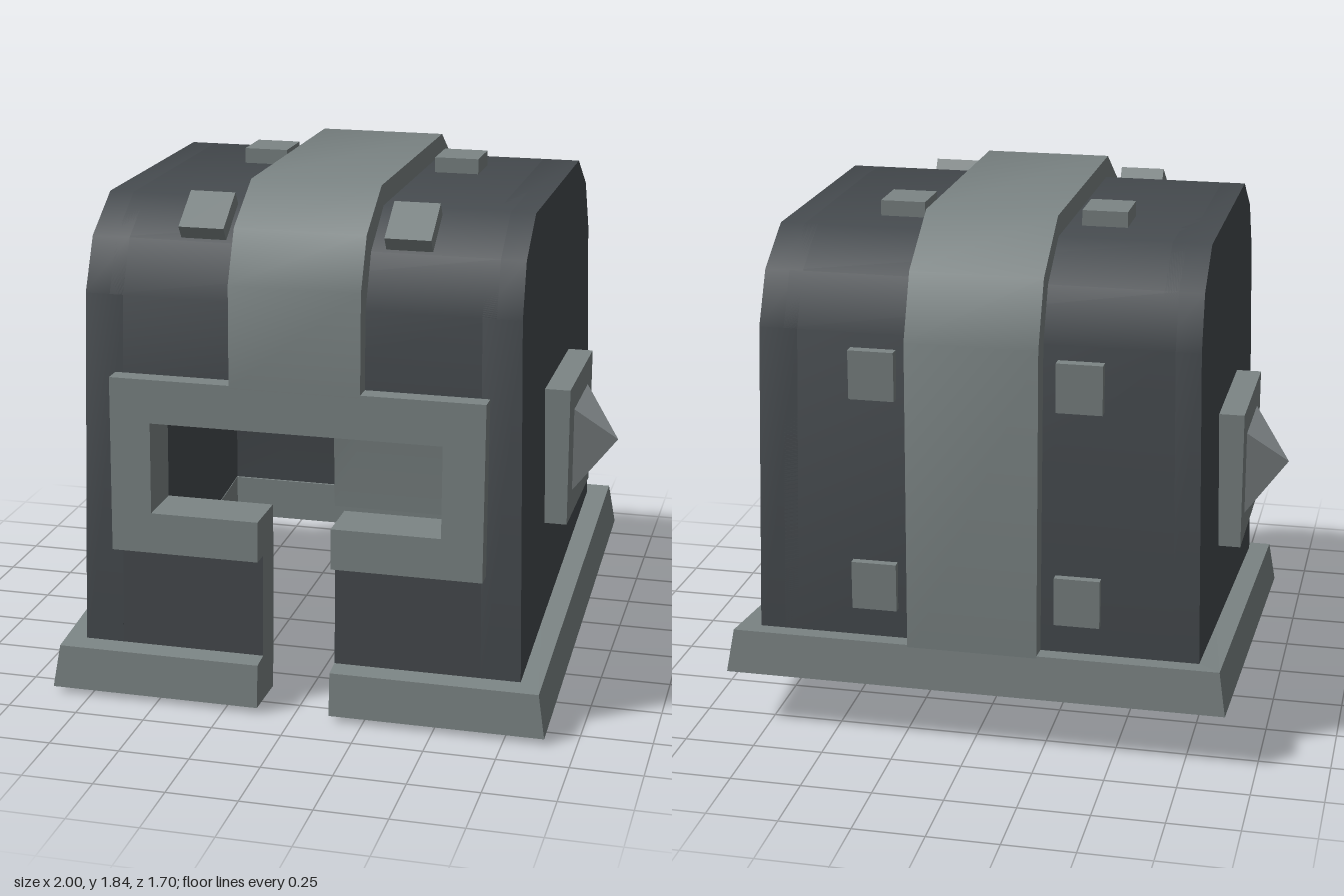
import * as THREE from 'three';
import { toCreasedNormals } from 'three/addons/utils/BufferGeometryUtils.js';

const steel = new THREE.MeshStandardMaterial({ color: 0x7c8585 });
const dark = new THREE.MeshStandardMaterial({ color: 0x464b4f });
const bright = new THREE.MeshStandardMaterial({ color: 0xa6aeb1 });
steel.name = 'steel trim';
dark.name = 'dark shell';
bright.name = 'bright spike';

const WALL = 0.13;
const frontZ = (y) => 0.769 - 0.0305 * y; // leaning front face

const shapeOf = (pts) => new THREE.Shape(pts.map(([a, b]) => new THREE.Vector2(a, b)));

// Apply a rule to every vertex
function warp(geo, rule) {
  const p = geo.attributes.position;
  const v = new THREE.Vector3();
  for (let i = 0; i < p.count; i++) {
    rule(v.fromBufferAttribute(p, i));
    p.setXYZ(i, v.x, v.y, v.z);
  }
  return geo;
}

// Extrude a side profile of [z, y] points from x0 to x1, narrowing upwards if asked
function sideExtrude(pts, x0, x1, taper) {
  const geo = new THREE.ExtrudeGeometry(shapeOf(pts), { depth: x1 - x0, bevelEnabled: false });
  geo.rotateY(-Math.PI / 2).translate(x1, 0, 0);
  if (taper) warp(geo, (v) => { v.x *= 1 - (v.y - 0.18) * 0.028; });
  return toCreasedNormals(geo, 0.7);
}

// Extrude a front outline of [x, y] points, following the lean of the front face
function frontExtrude(pts, back, front) {
  const geo = new THREE.ExtrudeGeometry(shapeOf(pts), { depth: front - back, bevelEnabled: false });
  warp(geo, (v) => { v.z += frontZ(v.y) + back; });
  return toCreasedNormals(geo, 0.4);
}

// Loft through stations, each a loop of four points, with closed ends
function loft(stations) {
  const pos = [];
  const quad = (a, b, c, d) => [a, b, c, a, c, d].forEach((p) => pos.push(...p));
  for (let i = 0; i < stations.length - 1; i++) {
    for (let j = 0; j < 4; j++) {
      const k = (j + 1) % 4;
      quad(stations[i][j], stations[i + 1][j], stations[i + 1][k], stations[i][k]);
    }
  }
  const s = stations[0], e = stations[stations.length - 1];
  quad(s[0], s[1], s[2], s[3]);
  quad(e[3], e[2], e[1], e[0]);
  const geo = new THREE.BufferGeometry();
  geo.setAttribute('position', new THREE.Float32BufferAttribute(pos, 3));
  geo.computeVertexNormals();
  return geo;
}

export function createModel() {
  const group = new THREE.Group();
  const add = (name, geo, mat) => {
    const mesh = new THREE.Mesh(geo, mat);
    mesh.name = name;
    group.add(mesh);
    return mesh;
  };

  // Dome profiles as [z, y], running from the front over the top to the back
  const crown = [[0.725, 1.455], [0.65, 1.64], [0.47, 1.76], [-0.47, 1.76], [-0.65, 1.64], [-0.725, 1.455]];
  const crownInside = [[-0.595, 1.43], [-0.55, 1.55], [-0.42, 1.63], [0.42, 1.63], [0.55, 1.55], [0.595, 1.43]];

  // Shell: roof and back, side walls, and the two halves of the front
  add('shellRoofAndBack', sideExtrude([
    [frontZ(1.04), 1.04], ...crown, [-0.762, 0.27],
    [-0.63, 0.25], ...crownInside, [frontZ(1.04) - WALL, 1.04],
  ], -0.7, 0.7, true), dark);
  for (const s of [1, -1]) {
    add(s > 0 ? 'leftWall' : 'rightWall', sideExtrude(
      [[frontZ(0.1), 0.1], ...crown, [-0.762, 0.27]],
      s > 0 ? 0.65 : -0.79, s > 0 ? 0.79 : -0.65, true), dark);
    add(s > 0 ? 'leftCheek' : 'rightCheek', frontExtrude(
      [[0.13, 0.1], [0.7, 0.1], [0.7, 1.045], [0.52, 1.045], [0.52, 0.695], [0.13, 0.695]]
        .map(([x, y]) => [x * s, y]), -WALL, 0), [dark, steel]);
  }

  // Visor frame around the eye opening, split below by the face slot
  const half = [[0.515, 1.025], [0.515, 0.7], [0.13, 0.7], [0.13, 0.555], [0.66, 0.555], [0.66, 1.18]];
  add('visorFrame', frontExtrude(
    [...half, ...half.map(([x, y]) => [-x, y]).reverse()], -WALL + 0.005, 0.066), steel);

  // Central band over the dome, passing through the wall
  add('centralBand', sideExtrude([
    [0.8, 1.17], [0.79, 1.53], [0.71, 1.71], [0.5, 1.835],
    [-0.48, 1.835], [-0.72, 1.68], [-0.81, 1.455], [-0.832, 0.3],
    [-0.62, 0.25], ...crownInside.map(([z, y]) => [z * 0.98, y - 0.01]), [0.62, 1.17],
  ], -0.23, 0.23, false), steel);

  // Sloping base rim, open at the front
  const rimHalf = [
    [[0.13, 0.02, 0.85], [0.13, 0.175, 0.835], [0.13, 0.197, 0.635], [0.13, 0.015, 0.645]],
    [[0.89, 0.02, 0.85], [0.865, 0.175, 0.835], [0.645, 0.197, 0.635], [0.645, 0, 0.645]],
    [[0.89, 0.205, -0.85], [0.865, 0.36, -0.83], [0.645, 0.34, -0.62], [0.645, 0.178, -0.62]],
  ];
  const mirrored = rimHalf.map((st) => st.map(([x, y, z]) => [-x, y, z])).reverse();
  add('baseRim', loft([...rimHalf, ...mirrored]), steel);

  for (const s of [1, -1]) {
    const side = s > 0 ? 'left' : 'right';

    // Square plate with a pyramid spike on each side
    add(side + 'SidePlate', new THREE.BoxGeometry(0.14, 0.5, 0.53), steel)
      .position.set(s * 0.79, 0.84, 0.012);
    const spike = new THREE.ConeGeometry(Math.SQRT1_2, 1, 4, 1).toNonIndexed();
    spike.rotateY(Math.PI / 4).scale(0.305, 0.14, 0.32).rotateZ(-s * Math.PI / 2);
    spike.computeVertexNormals();
    add(side + 'Spike', spike, bright).position.set(s * 0.93, 0.837, 0.01);

    // Square studs: front slope, top, upper back, lower back
    const studs = [
      [1.695, 0.566, 0.11, 0.59],
      [1.765, -0.213, 0.1, 0],
      [1.315, -0.72, 0.09, -Math.PI / 2],
      [0.548, -0.735, 0.09, -Math.PI / 2],
    ];
    studs.forEach(([y, z, height, tilt], i) => {
      const stud = add(side + 'Stud' + (i + 1), new THREE.BoxGeometry(0.16, height, 0.174), steel);
      stud.position.set(s * 0.36, y, z);
      stud.rotation.x = tilt;
    });
  }
  return group;
}
